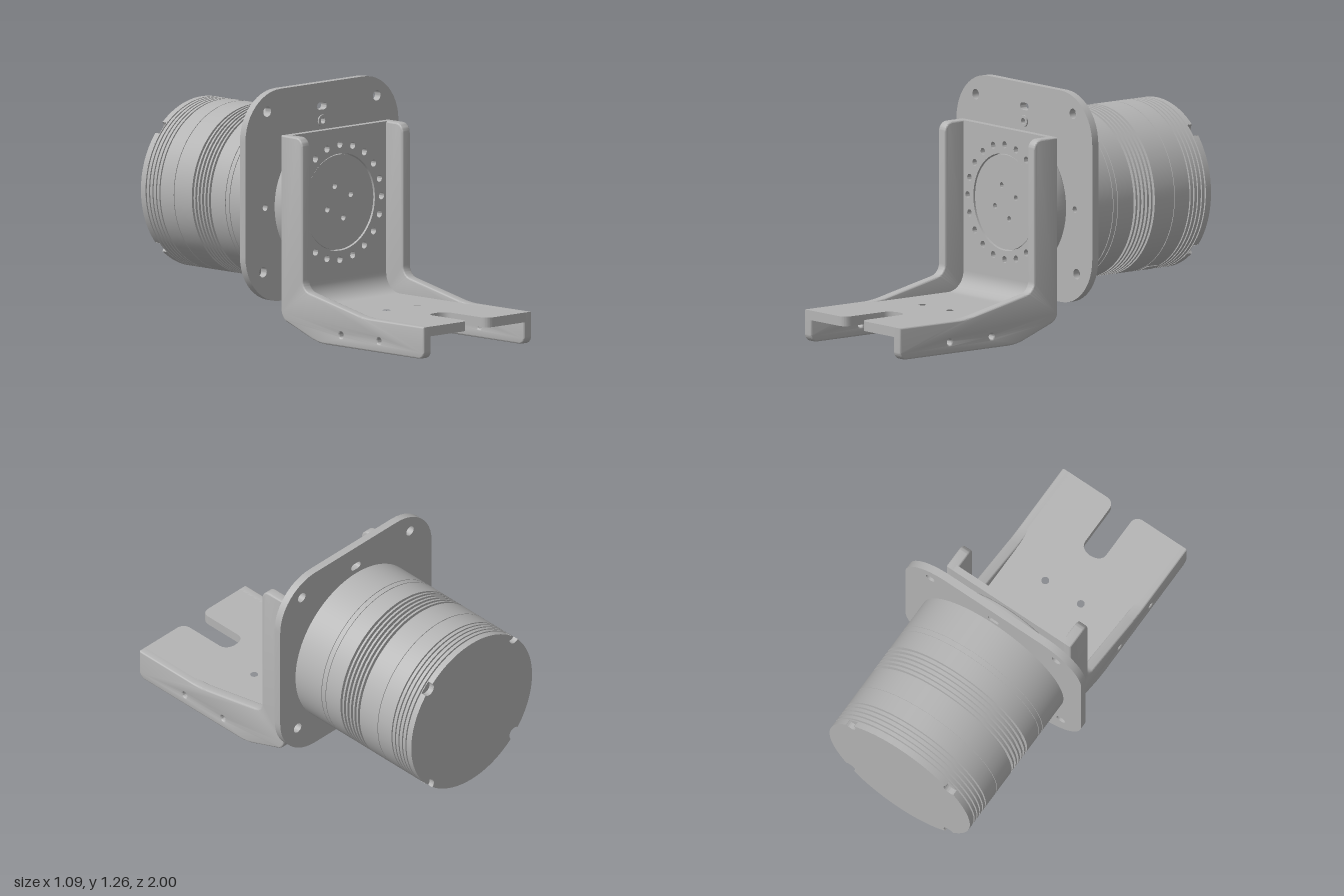
import * as THREE from 'three';
import { toCreasedNormals } from 'three/addons/utils/BufferGeometryUtils.js';

const metal = new THREE.MeshStandardMaterial({ color: 0xb4b4b4 });
metal.name = 'grey metal';
const CY = 0.66; // height of the motor axis

// Polygon of [x, y, cornerRadius] with rounded corners
function rounded(pts) {
  const shape = new THREE.Shape();
  const n = pts.length, k = 0.5523;
  pts.forEach(([x, y, r = 0], i) => {
    const p = new THREE.Vector2(x, y);
    const step = (q) => new THREE.Vector2(q[0], q[1]).sub(p).normalize().multiplyScalar(r).add(p);
    const a = step(pts[(i + n - 1) % n]), b = step(pts[(i + 1) % n]);
    if (i === 0) shape.moveTo(a.x, a.y); else shape.lineTo(a.x, a.y);
    if (r > 0) {
      const c = a.clone().lerp(p, k), d = b.clone().lerp(p, k);
      shape.bezierCurveTo(c.x, c.y, d.x, d.y, b.x, b.y);
    }
  });
  shape.closePath();
  return shape;
}

function addHole(shape, x, y, r) {
  const path = new THREE.Path();
  path.absarc(x, y, r, 0, Math.PI * 2, true);
  shape.holes.push(path);
}

function disc(r) {
  const s = new THREE.Shape();
  s.absarc(0, 0, r, 0, Math.PI * 2, false);
  return s;
}

function extrude(shape, depth, bevel = 0, segments = 12) {
  const g = new THREE.ExtrudeGeometry(shape, {
    depth: depth - 2 * bevel, curveSegments: segments, bevelEnabled: bevel > 0,
    bevelSize: bevel, bevelThickness: bevel, bevelOffset: -bevel, bevelSegments: 3,
  });
  g.translate(0, 0, bevel);
  return toCreasedNormals(g, 0.6);
}

export function createModel() {
  const model = new THREE.Group();
  const add = (name, geometry, x = 0, y = 0, z = 0, parent = model) => {
    const m = new THREE.Mesh(geometry, metal);
    m.name = name;
    m.position.set(x, y, z);
    parent.add(m);
    return m;
  };

  // Mounting plate with corner holes, side holes and a slot
  const plate = rounded([[-0.545, 0.17, 0.25], [0.545, 0.17, 0.25], [0.545, 1.26, 0.25], [-0.545, 1.26, 0.25]]);
  for (const s of [-1, 1]) {
    addHole(plate, s * 0.39, 1.152, 0.027);
    addHole(plate, s * 0.42, 0.33, 0.027);
    addHole(plate, s * 0.405, CY, 0.017);
  }
  const slot = new THREE.Path();
  slot.absarc(0.015, 1.14, 0.019, Math.PI / 2, -Math.PI / 2, true);
  slot.absarc(-0.015, 1.14, 0.019, -Math.PI / 2, -Math.PI * 1.5, true);
  plate.holes.push(slot);
  addHole(plate, 0, 1.065, 0.016);
  add('mountingPlate', extrude(plate, 0.04), 0, 0, -0.17);
  const collar = disc(0.03);
  addHole(collar, 0, 0, 0.016);
  add('plateCollar', extrude(collar, 0.008), 0, 1.065, -0.13);

  // Motor housing turned about the z axis, with cooling grooves
  const R = 0.435;
  const profile = [[0, 0.165], [R - 0.005, 0.165], [R, 0.17]];
  const groove = (start, width, depth) =>
    profile.push([R, start], [R - depth, start], [R - depth, start + width], [R, start + width]);
  groove(0.355, 0.004, 0.004);
  groove(0.385, 0.004, 0.004);
  for (let i = 0; i < 6; i++) groove(0.492 + i * 0.025, 0.014, 0.022);
  groove(0.758, 0.004, 0.004);
  for (let i = 0; i < 5; i++) groove(0.858 + i * 0.025, 0.008, 0.02);
  profile.push([R, 0.97], [0, 0.97]);
  const body = new THREE.LatheGeometry(profile.map(([r, d]) => new THREE.Vector2(r, d)), 96);
  body.rotateX(-Math.PI / 2);
  add('motorHousing', toCreasedNormals(body, 0.6), 0, CY, 0);

  // Rear cap with four notches for screws
  const cap = new THREE.Shape();
  const half = 0.08;
  for (let i = 0; i < 4; i++) {
    const a = Math.PI / 4 + i * Math.PI / 2;
    cap.absarc(0, 0, R, a - Math.PI / 2 + half, a - half, false);
    cap.absarc(R * Math.cos(a), R * Math.sin(a), 0.035, a - Math.PI / 2, a - Math.PI * 1.5, true);
  }
  add('rearCap', extrude(cap, 0.03, 0, 24), 0, CY, -1);

  // Cable socket low on the housing
  const socket = new THREE.Group();
  socket.name = 'cableSocket';
  socket.position.set(0, CY, -0.81);
  socket.rotation.z = 0.41;
  model.add(socket);
  add('socketFrame', extrude(rounded([[-0.03, -0.04, 0.01], [0.03, -0.04, 0.01],
    [0.03, 0.04, 0.01], [-0.03, 0.04, 0.01]]), 0.03).rotateX(Math.PI / 2), 0, -0.408, 0, socket);

  // Output hub, rotating flange and the boss inside the bracket
  const turned = (name, r, z0, z1, bevel) =>
    add(name, extrude(disc(r), z1 - z0, bevel, 48), 0, CY, z0);
  turned('outputHub', 0.31, -0.135, -0.11, 0);
  turned('outputFlange', 0.35, -0.122, -0.035, 0.008);
  const boss = disc(0.244);
  for (let i = 0; i < 4; i++) {
    const a = 1.92 + i * Math.PI / 2;
    addHole(boss, 0.089 * Math.cos(a), 0.089 * Math.sin(a), 0.015);
  }
  add('outputBoss', extrude(boss, 0.03, 0, 48), 0, CY, -0.036);

  // Bracket
  const bracket = new THREE.Group();
  bracket.name = 'bracket';
  model.add(bracket);

  // Upright web with the boss opening and a ring of bolt holes
  const web = rounded([[-0.345, 0.27], [0.345, 0.27], [0.345, 1.04], [-0.345, 1.04]]);
  const opening = new THREE.Path();
  opening.absarc(0, CY, 0.25, 0, Math.PI * 2, true);
  web.holes.push(opening);
  for (let i = 0; i < 20; i++) {
    const a = i * Math.PI / 10;
    addHole(web, 0.296 * Math.cos(a), CY + 0.296 * Math.sin(a), 0.018);
  }
  add('bracketWeb', extrude(web, 0.035, 0, 24), 0, 0, -0.035, bracket);

  // Curved bend between web and shelf, profile drawn in (z, y)
  const bend = rounded([[0, 0.27], [-0.035, 0.27], [-0.035, 0.115, 0.06], [0.12, 0.115], [0.12, 0.165], [0, 0.165, 0.1]]);
  add('bracketBend', extrude(bend, 0.69).rotateY(-Math.PI / 2), 0.345, 0, 0, bracket);

  // Shelf with open slot and two holes, drawn in (x, z)
  const shelf = new THREE.Shape();
  shelf.moveTo(-0.345, 0.12);
  shelf.lineTo(-0.345, 1);
  shelf.lineTo(-0.115, 1);
  shelf.quadraticCurveTo(-0.065, 1, -0.065, 0.95);
  shelf.lineTo(-0.065, 0.74);
  shelf.bezierCurveTo(-0.065, 0.675, 0.065, 0.675, 0.065, 0.74);
  shelf.lineTo(0.065, 0.95);
  shelf.quadraticCurveTo(0.065, 1, 0.115, 1);
  shelf.lineTo(0.345, 1);
  shelf.lineTo(0.345, 0.12);
  shelf.closePath();
  for (const s of [-1, 1]) addHole(shelf, s * 0.11, 0.45, 0.02);
  add('bracketShelf', extrude(shelf, 0.05).rotateX(Math.PI / 2), 0, 0.165, 0, bracket);

  // Side walls, profile drawn in (z, y)
  const wall = rounded([
    [1, 0, 0.04], [1, 0.165], [0.57, 0.165, 0.05], [0.12, 0.26, 0.05],
    [0.12, 1.04, 0.05], [-0.035, 1.04], [-0.035, 0.1, 0.04], [0.235, 0, 0.05],
  ]);
  addHole(wall, 0.4, 0.06, 0.015);
  addHole(wall, 0.675, 0.06, 0.015);
  const wallGeometry = extrude(wall, 0.055, 0.008).rotateY(-Math.PI / 2);
  add('leftWall', wallGeometry, 0.385, 0, 0, bracket);
  add('rightWall', wallGeometry, -0.33, 0, 0, bracket);

  return model;
}
